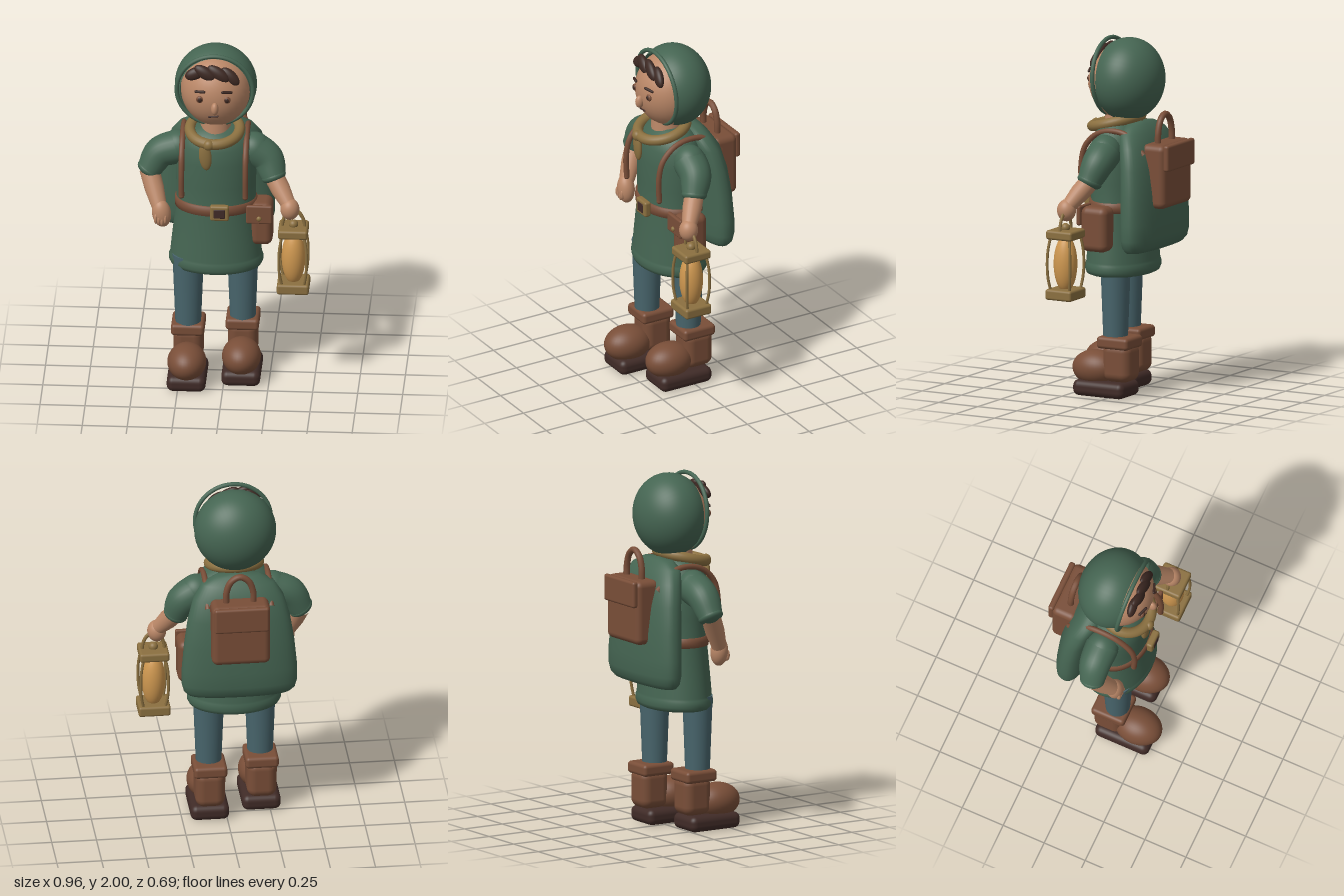
import * as THREE from 'three';
import { RoundedBoxGeometry } from 'three/addons/geometries/RoundedBoxGeometry.js';

const V = (x, y, z) => new THREE.Vector3(x, y, z);
const mat = (name, color, side = THREE.FrontSide) => {
  const m = new THREE.MeshStandardMaterial({ color, side });
  m.name = name;
  return m;
};

export function createModel() {
  const root = new THREE.Group();
  root.name = 'lanternTraveller';
  const green = mat('greenCloth', 0x456552, THREE.DoubleSide);
  const skin = mat('skin', 0xba8767);
  const hair = mat('darkHair', 0x3c2822);
  const leather = mat('leather', 0x794e38);
  const sole = mat('soleBrown', 0x402b27);
  const trouser = mat('tealTrousers', 0x48656c);
  const brass = mat('brass', 0x8b7040);
  const glow = mat('lanternGlow', 0xcf9850);

  const add = (name, geo, m, pos = [0, 0, 0], rot = [0, 0, 0], scale = [1, 1, 1], parent = root) => {
    const mesh = new THREE.Mesh(geo, m);
    mesh.name = name;
    mesh.position.set(...pos);
    mesh.rotation.set(...rot);
    mesh.scale.set(...scale);
    parent.add(mesh);
    return mesh;
  };
  const ball = (name, m, pos, radii, rot, parent) =>
    add(name, new THREE.SphereGeometry(1, 36, 24), m, pos, rot, radii, parent);
  const box = (name, m, pos, [w, h, d], r, parent) =>
    add(name, new RoundedBoxGeometry(w, h, d, 4, r), m, pos, undefined, undefined, parent);
  const tube = (name, m, pts, r, parent) =>
    add(name, new THREE.TubeGeometry(new THREE.CatmullRomCurve3(pts), 32, r, 10), m, undefined, undefined, undefined, parent);

  // Tube whose radius follows a list of values along the path
  const limb = (name, m, pts, radii) => {
    const curve = new THREE.CatmullRomCurve3(pts), n = 24, sides = 24;
    const geo = new THREE.TubeGeometry(curve, n, 1, sides), p = geo.attributes.position, v = V(0, 0, 0);
    for (let i = 0; i <= n; i++) {
      const c = curve.getPointAt(i / n), f = (i / n) * (radii.length - 1);
      const k = Math.min(Math.floor(f), radii.length - 2);
      const r = THREE.MathUtils.lerp(radii[k], radii[k + 1], f - k);
      for (let j = 0; j <= sides; j++) {
        const id = i * (sides + 1) + j;
        v.fromBufferAttribute(p, id).sub(c).multiplyScalar(r).add(c);
        p.setXYZ(id, v.x, v.y, v.z);
      }
    }
    return add(name, geo, m);
  };

  // Tunic with rolled hem
  const profile = [[0, 0.685], [0.23, 0.682], [0.252, 0.69], [0.262, 0.71], [0.262, 0.735], [0.256, 0.748],
    [0.254, 0.76], [0.245, 0.85], [0.22, 1.07], [0.222, 1.2], [0.226, 1.34], [0.215, 1.43], [0.18, 1.5], [0.11, 1.54], [0, 1.55]];
  add('tunic', new THREE.LatheGeometry(profile.map(([x, y]) => new THREE.Vector2(x, y)), 64), green,
    [-0.05, 0, 0.03], undefined, [1, 1, 0.73]);

  // Belt and buckle
  const belt = [[0.21, 1.04], [0.228, 1.043], [0.23, 1.07], [0.228, 1.097], [0.21, 1.1]];
  add('belt', new THREE.LatheGeometry(belt.map(([x, y]) => new THREE.Vector2(x, y)), 64), leather,
    [-0.05, 0, 0.03], undefined, [1, 1, 0.76]);
  box('buckle', brass, [-0.02, 1.075, 0.215], [0.105, 0.09, 0.04], 0.012);
  box('buckleCentre', sole, [-0.02, 1.075, 0.234], [0.062, 0.054, 0.009], 0.004);

  // Belt pouch
  box('pouch', leather, [0.205, 0.96, 0.048], [0.125, 0.255, 0.165], 0.04);
  box('pouchFlap', leather, [0.195, 1.033, 0.137], [0.145, 0.11, 0.025], 0.01);
  ball('pouchButton', brass, [0.195, 1.012, 0.152], [0.014, 0.014, 0.01]);

  // Cape: rounded cross-sections as [y, half width, z centre, half depth]
  const rings = [[1.54, 0.01, -0.08, 0.01], [1.53, 0.12, -0.08, 0.05], [1.49, 0.2, -0.09, 0.075], [1.42, 0.25, -0.12, 0.09],
    [1.3, 0.285, -0.145, 0.095], [1.15, 0.308, -0.16, 0.1], [1, 0.322, -0.167, 0.102], [0.91, 0.322, -0.168, 0.1],
    [0.865, 0.31, -0.167, 0.09], [0.84, 0.285, -0.165, 0.07], [0.832, 0.24, -0.165, 0.045], [0.83, 0.01, -0.165, 0.005]];
  const N = 48, verts = [], faces = [];
  const pw = (c) => Math.sign(c) * Math.pow(Math.abs(c), 0.85);
  rings.forEach(([y, hw, zc, hd], i) => {
    for (let j = 0; j < N; j++) {
      const a = (j / N) * Math.PI * 2, k = (j + 1) % N;
      verts.push(-0.057 + hw * pw(Math.cos(a)), y, zc + hd * pw(Math.sin(a)));
      if (i) {
        const q = (i - 1) * N, b = i * N;
        faces.push(q + j, q + k, b + j, q + k, b + k, b + j);
      }
    }
  });
  const capeGeo = new THREE.BufferGeometry();
  capeGeo.setAttribute('position', new THREE.Float32BufferAttribute(verts, 3));
  capeGeo.setIndex(faces);
  capeGeo.computeVertexNormals();
  add('cape', capeGeo, green);

  // Backpack, flap, carrying loop and shoulder straps
  box('backpack', leather, [-0.053, 1.26, -0.245], [0.326, 0.36, 0.15], 0.035);
  box('backpackFlap', leather, [-0.053, 1.368, -0.325], [0.305, 0.148, 0.034], 0.014);
  tube('backpackLoop', leather, [V(-0.128, 1.42, -0.235), V(-0.126, 1.5, -0.235), V(-0.1, 1.565, -0.235),
    V(-0.052, 1.592, -0.235), V(-0.004, 1.565, -0.235), V(0.022, 1.5, -0.235), V(0.024, 1.42, -0.235)], 0.018);
  for (const x of [-0.233, 0.122]) {
    tube('shoulderStrap', leather, [V(x, 1.38, -0.2), V(x, 1.48, -0.1), V(x, 1.5, 0), V(x, 1.475, 0.1),
      V(x, 1.4, 0.175), V(x, 1.3, 0.2), V(x, 1.165, 0.197)], 0.016);
    ball('strapEnd', leather, [x, 1.165, 0.197], [0.016, 0.016, 0.016]);
  }

  // Neck, head, hood and hood rim
  add('neck', new THREE.CylinderGeometry(0.08, 0.09, 0.14, 32), skin, [-0.05, 1.54, 0.05]);
  ball('head', skin, [-0.05, 1.755, 0.03], [0.196, 0.212, 0.19]);
  add('hood', new THREE.SphereGeometry(1, 48, 32, 0, Math.PI * 2, 1.02, Math.PI - 1.02), green,
    [-0.053, 1.768, -0.003], [Math.PI / 2, 0, 0], [0.228, 0.196, 0.232]);
  add('hoodRim', new THREE.TorusGeometry(0.212, 0.012, 12, 64), green, [-0.053, 1.778, 0.108], [0.05, 0, 0]);

  // Fringe of hair
  [[-0.16, 1.9, 0.155, 0.058, 0.4], [-0.105, 1.91, 0.165, 0.066, -0.55], [-0.03, 1.905, 0.162, 0.07, -0.6], [0.035, 1.885, 0.15, 0.065, -0.75]]
    .forEach(([x, y, z, l, a]) => ball('hairTuft', hair, [x, y, z], [l, 0.034, 0.024], [-0.25, 0, a]));

  // Face
  for (const s of [-1, 1]) {
    const x = -0.055 + s * 0.075;
    ball('eye', leather, [x, 1.765, 0.203], [0.021, 0.021, 0.012]);
    ball('pupil', hair, [x, 1.765, 0.212], [0.012, 0.013, 0.006]);
    add('eyebrow', new THREE.CapsuleGeometry(0.008, 0.05, 4, 10), hair, [x, 1.812, 0.204],
      [0, s * 0.35, Math.PI / 2 - s * 0.12]);
  }
  ball('nose', skin, [-0.046, 1.718, 0.224], [0.021, 0.037, 0.026]);
  add('mouth', new THREE.CapsuleGeometry(0.005, 0.05, 4, 10), sole, [-0.055, 1.659, 0.2], [0, 0, Math.PI / 2 + 0.1]);

  // Neckerchief
  add('neckerchief', new THREE.TorusGeometry(0.138, 0.03, 16, 48), brass, [-0.055, 1.525, 0.075], [Math.PI / 2 + 0.25, 0, 0]);
  ball('neckerchiefKnot', brass, [-0.08, 1.492, 0.222], [0.03, 0.03, 0.025]);
  ball('neckerchiefTail', brass, [-0.1, 1.415, 0.205], [0.035, 0.085, 0.02], [0, 0, 0.1]);

  // Sleeves with rolled cuffs, forearms and hands
  const arm = (side, shoulder, mid, elbow, wrist) => {
    limb(side + 'Sleeve', green, [shoulder, mid, elbow], [0.095, 0.093, 0.088, 0.08, 0.068]);
    ball(side + 'Shoulder', green, shoulder.toArray(), [0.096, 0.096, 0.09]);
    const dir = elbow.clone().sub(mid).normalize();
    const cuff = add(side + 'Cuff', new THREE.SphereGeometry(1, 32, 20), green, elbow.toArray(), undefined, [0.072, 0.036, 0.07]);
    cuff.quaternion.setFromUnitVectors(V(0, 1, 0), dir);
    limb(side + 'Forearm', skin, [elbow, elbow.clone().lerp(wrist, 0.5), wrist], [0.055, 0.054, 0.042]);
  };
  arm('right', V(-0.26, 1.385, 0.02), V(-0.36, 1.345, 0.02), V(-0.422, 1.245, 0.03), V(-0.36, 1.06, 0.125));
  arm('left', V(0.16, 1.385, 0.025), V(0.235, 1.33, 0.03), V(0.272, 1.235, 0.06), V(0.355, 1.11, 0.14));
  ball('rightHand', skin, [-0.347, 1.025, 0.135], [0.053, 0.082, 0.048], [0, 0, 0.15]);
  for (let i = 0; i < 4; i++) ball('rightFinger', skin, [-0.378 + i * 0.018, 1.005 - (i % 3) * 0.006, 0.17], [0.01, 0.03, 0.013]);
  ball('leftHand', skin, [0.367, 1.08, 0.153], [0.053, 0.062, 0.053]);

  // Legs and boots, the right foot one step ahead
  for (const [side, x, z] of [['right', -0.202, 0.09], ['left', 0.096, 0]]) {
    const leg = new THREE.Group();
    leg.name = side + 'Leg';
    leg.position.set(x, 0, z);
    root.add(leg);
    const part = (n) => side + n;
    add(part('Trouser'), new THREE.CylinderGeometry(0.088, 0.07, 0.46, 36), trouser, [0, 0.53, -0.005], undefined, [1, 1, 0.95], leg);
    box(part('BootCuff'), leather, [0, 0.312, -0.03], [0.185, 0.068, 0.2], 0.02, leg);
    box(part('BootShaft'), leather, [0, 0.2, -0.04], [0.165, 0.22, 0.175], 0.05, leg);
    ball(part('BootToe'), leather, [0, 0.152, 0.12], [0.108, 0.1, 0.138], undefined, leg);
    box(part('Sole'), sole, [0, 0.046, 0.057], [0.216, 0.09, 0.325], 0.036, leg);
  }

  // Lantern: plates, glass, bowed corner bars, knob and handle
  const lantern = new THREE.Group();
  lantern.name = 'lantern';
  lantern.position.set(0.387, 0, 0.148);
  root.add(lantern);
  box('lanternTop', brass, [0, 0.95, 0], [0.165, 0.052, 0.165], 0.014, lantern);
  box('lanternBase', brass, [0, 0.614, 0], [0.178, 0.06, 0.165], 0.014, lantern);
  ball('lanternGlass', glow, [0, 0.782, 0], [0.066, 0.16, 0.066], undefined, lantern);
  for (const sx of [-1, 1]) for (const sz of [-1, 1])
    tube('lanternBar', brass, [V(sx * 0.06, 0.63, sz * 0.06), V(sx * 0.074, 0.71, sz * 0.07), V(sx * 0.077, 0.782, sz * 0.073),
      V(sx * 0.074, 0.86, sz * 0.07), V(sx * 0.06, 0.94, sz * 0.06)], 0.008, lantern);
  ball('lanternKnob', brass, [0, 0.985, 0], [0.026, 0.026, 0.026], undefined, lantern);
  add('lanternHandle', new THREE.TorusGeometry(0.062, 0.009, 10, 32, Math.PI), brass, [0, 0.97, 0], undefined, [1, 1.6, 1], lantern);

  return root;
}
